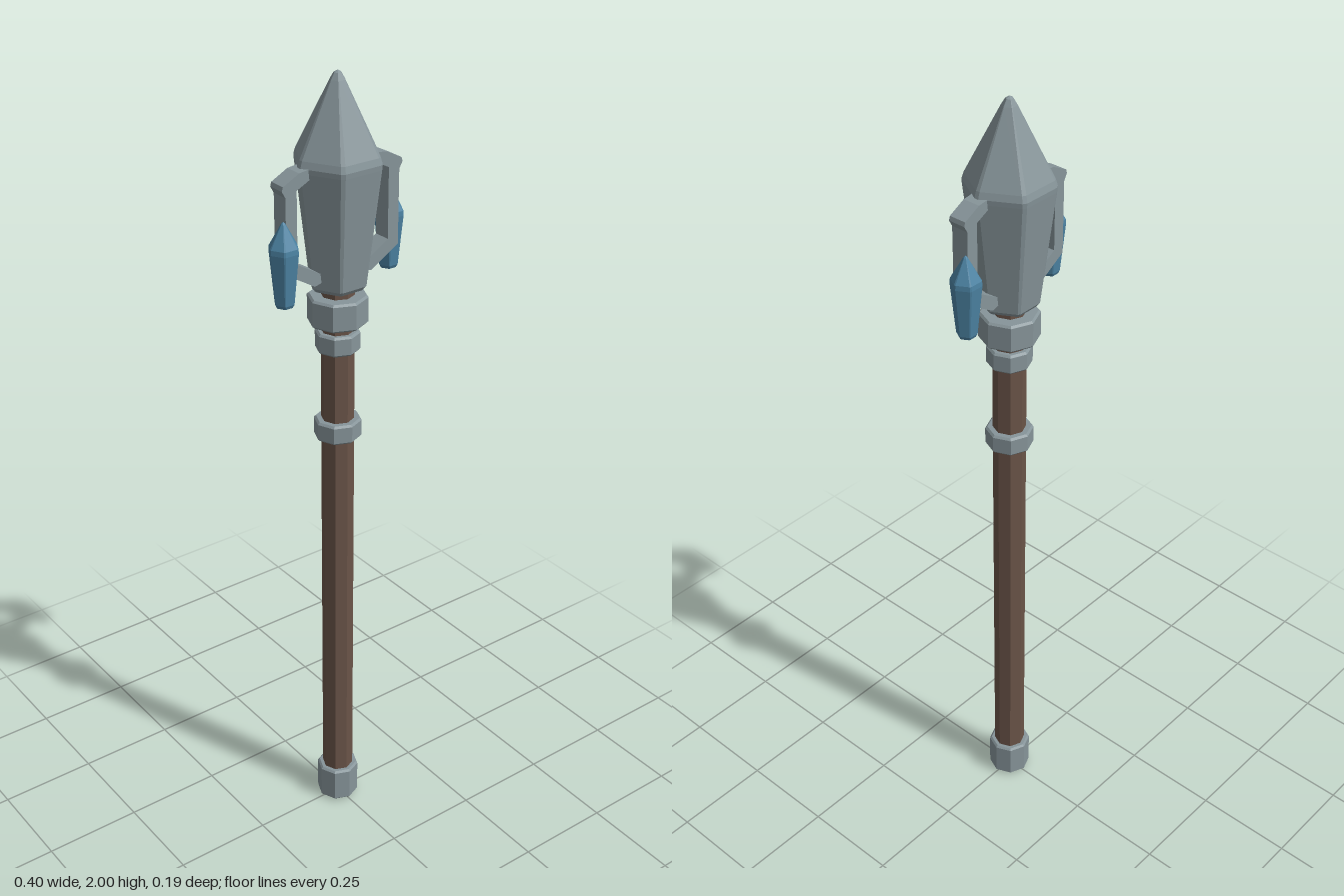
import * as THREE from 'three';

const metal = new THREE.MeshStandardMaterial({ color: 0x87959a });
metal.name = 'grey metal';
const wood = new THREE.MeshStandardMaterial({ color: 0x6a5448 });
wood.name = 'brown wood';
const crystalBlue = new THREE.MeshStandardMaterial({ color: 0x4c83a3 });
crystalBlue.name = 'blue crystal';

// Faceted mesh: unshared vertices give one normal per face
function facet(name, geometry, material) {
  const g = geometry.index ? geometry.toNonIndexed() : geometry;
  g.computeVertexNormals();
  const mesh = new THREE.Mesh(g, material);
  mesh.name = name;
  return mesh;
}

// Profile of [radius, y] points, bottom to top, turned with the given sides
function turned(name, profile, sides, material) {
  const points = profile.map(([r, y]) => new THREE.Vector2(r, y));
  return facet(name, new THREE.LatheGeometry(points, sides), material);
}

// Octagonal band with slightly chamfered rims
function band(name, y0, y1, r) {
  const c = 0.005;
  return turned(name, [[0, y0], [r - c, y0], [r, y0 + c], [r, y1 - c], [r - c, y1], [0, y1]], 8, metal);
}

// Hexagonal solid with corners on the x axis, each corner cut by a narrow strip
function bevelledHex(name, profile, bevel, material) {
  const points = profile.map(([r, y]) => new THREE.Vector2(r, y));
  const g = new THREE.LatheGeometry(points, 12);
  const pos = g.attributes.position;
  for (let i = 0; i < pos.count; i++) {
    const step = Math.floor(i / points.length);
    const r = points[i % points.length].x;
    const a = Math.PI / 6 + Math.floor(step / 2) * Math.PI / 3 + (step % 2 ? bevel : -bevel);
    pos.setX(i, r * Math.sin(a));
    pos.setZ(i, r * Math.cos(a));
  }
  return facet(name, g, material);
}

export function createModel() {
  const model = new THREE.Group();
  model.name = 'staff';

  // Handle and its metal bands
  model.add(turned('shaft', [[0, 0], [0.04, 0], [0.04, 1.51], [0, 1.51]], 8, wood));
  model.add(band('buttCap', 0.004, 0.10, 0.054));
  model.add(band('middleBand', 1.11, 1.16, 0.058));
  model.add(band('upperBand', 1.34, 1.39, 0.054));
  model.add(band('collar', 1.41, 1.48, 0.072));

  // Pointed head
  model.add(bevelledHex('head', [
    [0, 1.5], [0.062, 1.5], [0.07, 1.51], [0.104, 1.79], [0.105, 1.802],
    [0.1, 1.818], [0.018, 1.98], [0.009, 1.995], [0, 2.0],
  ], 0.05, metal));

  // Side bracket outline, from the head out, down and back in
  const outline = [
    [0.08, 1.805], [0.12, 1.8], [0.163, 1.778], [0.166, 1.768], [0.157, 1.752], [0.157, 1.572],
    [0.08, 1.525], [0.06, 1.53], [0.06, 1.55], [0.127, 1.59], [0.127, 1.762], [0.08, 1.785],
  ].map(([x, y]) => new THREE.Vector2(x, y));
  const depth = 0.044;

  // The two sides are half a turn apart
  for (const [side, turn] of [['left', 0], ['right', Math.PI]]) {
    const arm = new THREE.Group();
    arm.name = side + 'Arm';
    const bracket = new THREE.ExtrudeGeometry(new THREE.Shape(outline), { depth, bevelEnabled: false });
    bracket.translate(0, 0, -depth / 2);
    arm.add(facet(side + 'Bracket', bracket, metal));

    const crystal = bevelledHex(side + 'Crystal', [
      [0, 1.5], [0.02, 1.5], [0.024, 1.508], [0.036, 1.63], [0.035, 1.642], [0.005, 1.695], [0, 1.7],
    ], 0.06, crystalBlue);
    crystal.position.set(0.164, 0, -0.022);
    arm.add(crystal);

    arm.rotation.y = turn;
    model.add(arm);
  }
  return model;
}
